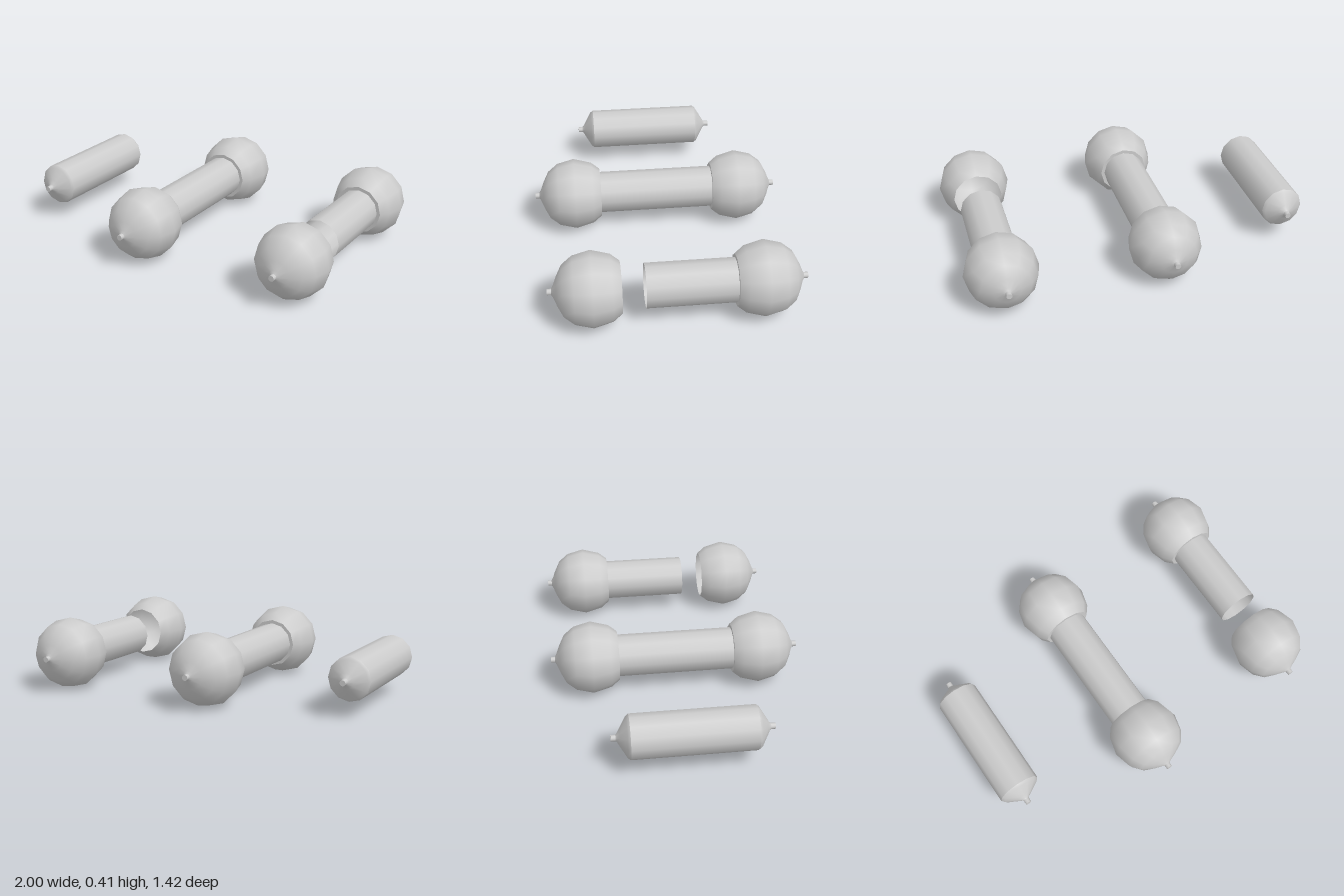
import * as THREE from 'three';

const SIDES = 12;
const BALL_R = 0.205, TUBE_R = 0.12, AXIS_Y = 0.205;

const material = new THREE.MeshStandardMaterial({ color: 0xcccccc, side: THREE.DoubleSide });

// Turned surface along +z from [radius, z] pairs
function turned(name, points) {
  const geometry = new THREE.LatheGeometry(points.map(([r, z]) => new THREE.Vector2(r, z)), SIDES);
  geometry.rotateX(Math.PI / 2);
  const mesh = new THREE.Mesh(geometry, material);
  mesh.name = name;
  return mesh;
}

// Hollow ball, open at z = 0, with a small nipple at its far end
function ball(name, collar) {
  const group = new THREE.Group();
  group.name = name;
  const c = 0.15;
  const shell = [[0.14, 0]];
  for (const deg of [-30, 0, 28, 48]) {
    const a = THREE.MathUtils.degToRad(deg);
    shell.push([BALL_R * Math.cos(a), c + BALL_R * Math.sin(a)]);
  }
  shell.push([0.075, 0.334], [0.032, 0.351], [0.017, 0.36]);
  group.add(turned('ballShell', shell));
  group.add(turned('nippleSide', [[0.017, 0.36], [0.016, 0.383]]));
  group.add(turned('nippleTip', [[0.016, 0.383], [0, 0.383]]));
  // Ring that closes the gap between ball and tube
  if (collar) group.add(turned('collar', [[TUBE_R, 0], [0.14, 0]]));
  return group;
}

function tube(from, to) {
  return turned('tube', [[TUBE_R, from], [TUBE_R, to]]);
}

// Places a ball with its rim at z, pointing forward (1) or back (-1)
function placeBall(parent, name, z, dir, collar) {
  const b = ball(name, collar);
  b.position.z = z;
  if (dir < 0) b.rotation.y = Math.PI;
  parent.add(b);
}

function item(root, name, x) {
  const group = new THREE.Group();
  group.name = name;
  group.position.set(x, AXIS_Y, 0);
  root.add(group);
  return group;
}

export function createModel() {
  const root = new THREE.Group();
  root.name = 'dumbbellSet';

  // Slim closed capsule
  const capsule = item(root, 'capsule', -0.88);
  capsule.add(turned('capsuleBody', [[TUBE_R, -0.33], [TUBE_R, 0.33]]));
  for (const dir of [1, -1]) {
    const end = new THREE.Group();
    end.name = dir > 0 ? 'frontCapsuleEnd' : 'backCapsuleEnd';
    end.add(turned('shoulder', [[TUBE_R, 0.33], [0.108, 0.345], [0.045, 0.382], [0.022, 0.395], [0.017, 0.402]]));
    end.add(turned('nippleSide', [[0.017, 0.402], [0.016, 0.427]]));
    end.add(turned('nippleTip', [[0.016, 0.427], [0, 0.427]]));
    if (dir < 0) end.rotation.y = Math.PI;
    capsule.add(end);
  }

  // Complete dumbbell
  const whole = item(root, 'closedDumbbell', -0.116);
  whole.add(tube(-0.328, 0.328));
  placeBall(whole, 'frontBall', 0.328, 1, true);
  placeBall(whole, 'backBall', -0.328, -1, true);

  // Dumbbell with its front ball taken off and an open tube
  const open = item(root, 'openDumbbell', 0.795);
  open.add(tube(-0.328, 0.15));
  placeBall(open, 'backBall', -0.328, -1, true);
  placeBall(open, 'looseBall', 0.275, 1, false);

  return root;
}
